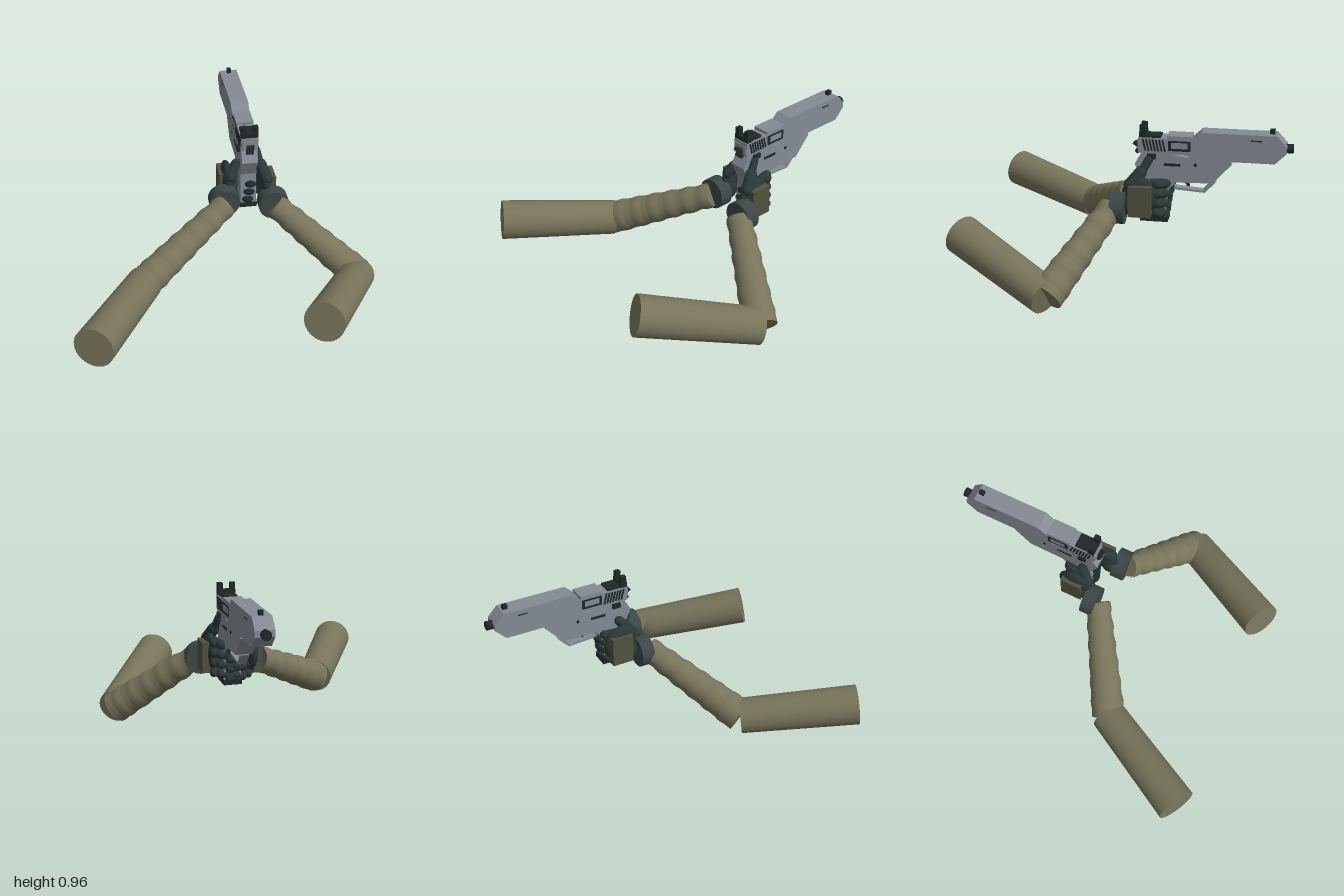
import * as THREE from 'three';

const mat = (name, color) => {
  const m = new THREE.MeshStandardMaterial({ color });
  m.name = name;
  return m;
};
const V = (a) => new THREE.Vector3(...a);
const UP = new THREE.Vector3(0, 1, 0);

export function createModel() {
  const model = new THREE.Group();
  const sleeve = mat('olive sleeve', 0x77745a);
  const steel = mat('grey steel', 0x848b93);
  const black = mat('black parts', 0x1f2828);
  const glove = mat('dark glove', 0x2b3838);
  const cuffMat = mat('glove cuff', 0x3d4747);
  const padMat = mat('olive pad', 0x50523f);

  const add = (parent, name, geo, material, pos = [0, 0, 0]) => {
    const m = new THREE.Mesh(geo, material);
    m.name = name;
    m.position.set(...pos);
    parent.add(m);
    return m;
  };
  const group = (name) => {
    const g = new THREE.Group();
    g.name = name;
    model.add(g);
    return g;
  };
  // place a geometry made along y so that it runs from a to b
  const along = (parent, name, geo, material, a, b) => {
    const m = add(parent, name, geo, material);
    m.position.copy(V(a)).add(V(b)).multiplyScalar(0.5);
    m.quaternion.setFromUnitVectors(UP, V(b).sub(V(a)).normalize());
    return m;
  };
  const dist = (a, b) => V(a).distanceTo(V(b));
  const box = (parent, name, size, material, pos) =>
    add(parent, name, new THREE.BoxGeometry(...size), material, pos);
  const ball = (parent, name, radii, material, pos) =>
    add(parent, name, new THREE.SphereGeometry(1, 20, 14).scale(...radii), material, pos);
  const limb = (parent, name, r, a, b) =>
    along(parent, name, new THREE.CapsuleGeometry(r, dist(a, b), 5, 12), glove, a, b);

  // rippled forearm sleeve, wrist at the bottom and elbow at the top
  const forearmGeo = (len) => {
    const pts = [new THREE.Vector2(0, -len / 2)];
    for (let i = 0; i <= 36; i++) {
      const t = i / 36;
      const r = 0.074 + 0.028 * t + 0.004 * Math.sin(t * Math.PI * 12);
      pts.push(new THREE.Vector2(r, (t - 0.5) * len));
    }
    const side = new THREE.LatheGeometry(pts.slice(1), 28);
    return side;
  };

  const arm = (label, wrist, elbow, shoulder) => {
    const g = group(label + 'Arm');
    const len = dist(wrist, elbow);
    along(g, 'forearm', forearmGeo(len), sleeve, wrist, elbow);
    along(g, 'forearmCore', new THREE.CylinderGeometry(0.101, 0.07, len, 28), sleeve, wrist, elbow);
    along(g, 'upperArm', new THREE.CylinderGeometry(0.121, 0.108, dist(elbow, shoulder), 32), sleeve, elbow, shoulder);
  };
  arm('right', [0.06, 0.48, -0.03], [-0.49, 0.205, 0.31], [-0.83, 0.293, 0.925]);
  arm('left', [0.36, 0.485, 0.03], [0.835, 0.108, 0.315], [0.464, 0.293, 0.92]);

  // gloved hands: cuff, palm, back pad, fingers wrapped around the grip, thumb
  const hand = (label, s, cuff, palm, pad) => {
    const g = group(label + 'Hand');
    const gx = 0.22;
    add(g, 'cuff', new THREE.CylinderGeometry(0.095, 0.095, 0.082, 28).rotateX(Math.PI / 2), cuffMat, cuff);
    ball(g, 'palm', [0.04, 0.12, 0.11], glove, palm);
    ball(g, 'heel', [0.05, 0.07, 0.06], glove, [palm[0], 0.5, palm[2] + 0.06]);
    box(g, 'backPad', [0.05, 0.185, 0.135], padMat, pad);
    for (let i = 0; i < 4; i++) {
      const y = 0.63 - i * 0.06 - (s < 0 ? 0.02 : 0);
      const k = [gx + s * 0.085, y, -0.2];
      const f = [gx + s * 0.065, y - 0.005, -0.275 + i * 0.006];
      const tip = [gx - s * 0.02, y - 0.01, -0.298 + i * 0.008];
      limb(g, 'finger', 0.028, k, f);
      limb(g, 'fingertip', 0.025, f, tip);
      ball(g, 'knuckle', [0.022, 0.026, 0.035], glove, [gx + s * 0.105, y, -0.235]);
    }
    return g;
  };
  const right = hand('right', -1, [0.057, 0.485, -0.073], [0.092, 0.56, -0.2], [0.064, 0.535, -0.21]);
  limb(right, 'thumb', 0.03, [0.105, 0.62, -0.12], [0.15, 0.68, -0.18]);
  const left = hand('left', 1, [0.354, 0.485, -0.007], [0.32, 0.55, -0.13], [0.358, 0.532, -0.135]);
  limb(left, 'thumbBase', 0.036, [0.325, 0.62, -0.07], [0.295, 0.69, -0.13]);
  limb(left, 'thumbTip', 0.025, [0.29, 0.7, -0.14], [0.275, 0.765, -0.175]);

  // pistol, barrel towards -z; outlines are [distance forward, height]
  const gun = group('pistol');
  const cx = 0.221;
  const plate = (name, pts, width, material, holes = []) => {
    const toVec = (p) => new THREE.Vector2(...p);
    const shape = new THREE.Shape(pts.map(toVec));
    holes.forEach((h) => shape.holes.push(new THREE.Path(h.map(toVec))));
    const geo = new THREE.ExtrudeGeometry(shape, { depth: width, bevelEnabled: false });
    geo.translate(0, 0, -width / 2).rotateY(Math.PI / 2);
    return add(gun, name, geo, material, [cx, 0, 0]);
  };
  plate('barrelShroud', [[0.385, 0.81], [0.42, 0.775], [0.898, 0.775], [0.963, 0.84], [0.963, 0.877],
    [0.904, 0.94], [0.476, 0.94], [0.385, 0.855]], 0.112, steel);
  plate('frame', [[0.09, 0.73], [0.13, 0.8], [0.3, 0.8], [0.42, 0.78], [0.645, 0.775], [0.655, 0.757],
    [0.545, 0.637], [0.33, 0.63], [0.29, 0.58], [0.275, 0.41], [0.13, 0.41], [0.14, 0.62]], 0.1, steel);
  plate('triggerGuard', [[0.29, 0.605], [0.34, 0.592], [0.49, 0.58], [0.54, 0.637], [0.565, 0.637],
    [0.5, 0.568], [0.34, 0.578], [0.29, 0.59]], 0.05, steel);
  plate('trigger', [[0.37, 0.64], [0.395, 0.64], [0.41, 0.6], [0.395, 0.6]], 0.025, black);
  plate('rearSlide', [[0.11, 0.807], [0.11, 0.893], [0.42, 0.893], [0.42, 0.8], [0.13, 0.8]], 0.104, steel);
  box(gun, 'slideCap', [0.108, 0.022, 0.145], steel, [cx, 0.899, -0.35]);
  box(gun, 'rearRail', [0.09, 0.014, 0.12], black, [cx, 0.898, -0.18]);
  box(gun, 'rearPlate', [0.09, 0.05, 0.008], steel, [cx, 0.85, -0.108]);
  plate('hammer', [[0.072, 0.845], [0.09, 0.858], [0.125, 0.84], [0.125, 0.8], [0.1, 0.787], [0.085, 0.8],
    [0.1, 0.825]], 0.045, black);
  box(gun, 'magazineBase', [0.11, 0.03, 0.165], black, [cx, 0.397, -0.205]);
  add(gun, 'muzzle', new THREE.CylinderGeometry(0.027, 0.027, 0.05, 16).rotateX(Math.PI / 2), black, [cx, 0.857, -0.975]);
  add(gun, 'muzzleRing', new THREE.TorusGeometry(0.023, 0.006, 8, 16), black, [cx, 0.857, -0.993]);

  // sights
  box(gun, 'frontSight', [0.025, 0.03, 0.03], black, [cx, 0.952, -0.877]);
  for (const s of [-1, 1]) box(gun, 'rearSight', [0.03, 0.07, 0.034], black, [cx + s * 0.037, 0.93, -0.134]);
  box(gun, 'rearSightBase', [0.105, 0.03, 0.04], black, [cx, 0.91, -0.134]);

  // side details, mirrored
  for (const s of [-1, 1]) {
    const x = cx + s * 0.053;
    for (let i = 0; i < 7; i++) {
      const groove = box(gun, 'serration', [0.006, 0.07, 0.01], black, [x, 0.85, -0.145 - i * 0.019]);
      groove.rotation.x = 0.25;
    }
    box(gun, 'port', [0.008, 0.06, 0.13], black, [x, 0.852, -0.35]);
    box(gun, 'portCover', [0.008, 0.035, 0.095], steel, [x + s * 0.002, 0.855, -0.35]);
    box(gun, 'slideSlot', [0.005, 0.007, 0.06], black, [cx + s * 0.056, 0.906, -0.79]);
    box(gun, 'frameSlot', [0.006, 0.016, 0.095], black, [cx + s * 0.05, 0.737, -0.31]);
    add(gun, 'framePin', new THREE.CylinderGeometry(0.01, 0.01, 0.006, 12).rotateZ(Math.PI / 2), black,
      [cx + s * 0.05, 0.743, -0.445]);
    box(gun, 'safetyLever', [0.018, 0.03, 0.05], black, [cx + s * 0.058, 0.785, -0.19]);
  }

  // raised ribs down the back of the grip
  [0.552, 0.495, 0.44].forEach((y, i) =>
    ball(gun, 'gripRib', [0.036, 0.02, 0.025], black, [cx + 0.012 - i * 0.008, y, -0.125]));

  return model;
}
